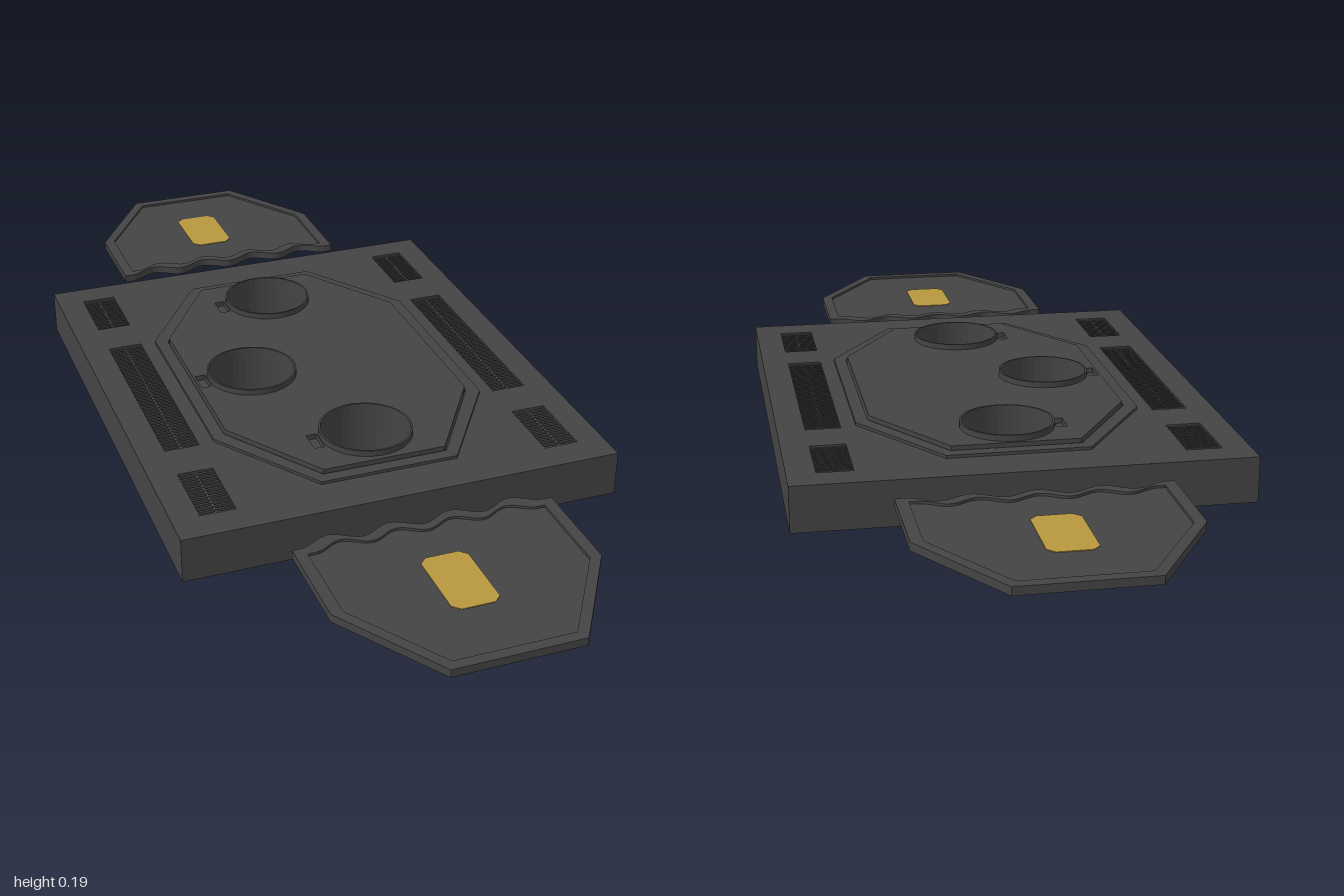
import * as THREE from 'three';

const mat = (name, color) => Object.assign(new THREE.MeshStandardMaterial({ color }), { name });

export function createModel() {
  const body = mat('dark grey', 0x444444);
  const shade = mat('vent shadow', 0x343434);
  const ringGrey = mat('ring grey', 0x414543);
  const gold = mat('gold', 0xb8983f);
  const model = new THREE.Group();
  model.name = 'plateAssembly';

  const add = (geometry, material, name, x = 0, y = 0, z = 0, parent = model) => {
    const mesh = new THREE.Mesh(geometry, material);
    mesh.name = name;
    mesh.position.set(x, y, z);
    parent.add(mesh);
    return mesh;
  };
  // Outlines are lists of [x, z], always turned counter-clockwise; slabs rise from y0 to y1
  const points = (list) => {
    const p = list.map(([x, z]) => new THREE.Vector2(x, -z));
    return THREE.ShapeUtils.isClockWise(p) ? p.reverse() : p;
  };
  const slab = (outline, holes, y0, y1) => {
    const shape = new THREE.Shape(points(outline));
    shape.holes = holes.map((h) => new THREE.Path(points(h)));
    const g = new THREE.ExtrudeGeometry(shape, { depth: y1 - y0, bevelEnabled: false });
    return g.rotateX(-Math.PI / 2).translate(0, y0, 0);
  };
  const rect = (x, z, w, d) => [
    [x - w / 2, z - d / 2], [x + w / 2, z - d / 2], [x + w / 2, z + d / 2], [x - w / 2, z + d / 2]];
  const circle = (x, z, r, n = 40) => Array.from({ length: n }, (_, i) => {
    const a = (i / n) * Math.PI * 2;
    return [x + r * Math.cos(a), z + r * Math.sin(a)];
  });
  // Long octagon shared by the pod and its collar, grown by g
  const octagon = (g = 0) => {
    const w = 0.257 + g, e = 0.125 + g * 0.5, l = 0.406 + g, m = 0.203 + g * 0.5, c = -0.008;
    return [[e, c - l], [w, c - m], [w, c + m], [e, c + l], [-e, c + l], [-w, c + m], [-w, c - m], [-e, c - l]];
  };

  // Main slab, pierced for the pod and the vents
  const vents = [];
  for (const x of [-0.35, 0.35]) {
    for (const [z, d] of [[-0.402, 0.145], [-0.012, 0.445], [0.375, 0.15]]) vents.push([x, z, 0.07, d]);
  }
  const slabOutline = rect(0, -0.01, 0.88, 1.05);
  add(slab(slabOutline, [octagon(0.003)], 0.07, 0.14), body, 'slabBase');
  add(slab(slabOutline, [octagon(0.003), ...vents.map((v) => rect(...v))], 0.14, 0.161), body, 'slabTop');
  add(slab(octagon(0.028), [octagon(0.003)], 0.161, 0.167), body, 'collar');

  // Vent grilles: dark floor, cross slats and a centre rail
  for (const [x, z, w, d] of vents) {
    const vent = new THREE.Group();
    vent.name = 'vent';
    model.add(vent);
    add(new THREE.BoxGeometry(w, 0.002, d), shade, 'ventFloor', x, 0.141, z, vent);
    const n = Math.round(d / 0.0115);
    for (let i = 0; i < n; i++) {
      add(new THREE.BoxGeometry(w, 0.012, 0.005), body, 'ventSlat', x, 0.152, z - d / 2 + ((i + 0.5) * d) / n, vent);
    }
    add(new THREE.BoxGeometry(0.005, 0.012, d), body, 'ventRail', x, 0.151, z, vent);
  }

  // Octagonal pod with three deep wells, each with a thumb notch beside it
  const wells = [[0, -0.316], [-0.137, -0.006], [0, 0.295]];
  const wellHoles = wells.map(([x, z]) => circle(x, z, 0.089));
  const notches = wells.map(([x, z]) => rect(x - 0.1045, z, 0.021, 0.05));
  add(slab(octagon(), [], 0, 0.02), body, 'podFloor');
  add(slab(octagon(), wellHoles, 0.02, 0.164), body, 'pod');
  add(slab(octagon(), [...wellHoles, ...notches], 0.164, 0.175), body, 'podTop');
  for (const [x, z] of wells) {
    add(slab(circle(x, z, 0.093), [circle(x, z, 0.089)], 0.175, 0.187), ringGrey, 'wellRing');
  }

  // Detached end covers with a scalloped inner edge, raised rim and gold patch
  const cover = (s, inner) => {
    const list = [];
    for (let i = 0; i <= 48; i++) {
      const x = -0.257 + (0.514 * i) / 48;
      const bump = Math.abs(x) < 0.24 ? 0.0125 * (1 - Math.cos(((x + 0.24) / 0.12) * Math.PI * 2)) : 0;
      list.push([x, inner - bump]);
    }
    return list.concat([[0.257, s * 0.795], [0.125, s], [-0.125, s], [-0.257, s * 0.795]]);
  };
  for (const [s, inner, patchZ, name] of [[1, 0.595, 0.772, 'frontCover'], [-1, -0.596, -0.79, 'backCover']]) {
    const group = new THREE.Group();
    group.name = name;
    model.add(group);
    const outline = cover(s, inner);
    const inset = outline.map(([x, z]) => [x * 0.91, s * 0.79 + (z - s * 0.79) * 0.9]);
    add(slab(outline, [], 0.133, 0.144), body, 'coverPlate', 0, 0, 0, group);
    add(slab(outline, [inset], 0.144, 0.149), body, 'coverRim', 0, 0, 0, group);
    const w = 0.046, d = 0.08, c = 0.014;
    const patch = [[w - c, -d], [w, c - d], [w, d - c], [w - c, d], [c - w, d], [-w, d - c], [-w, c - d], [c - w, -d]];
    add(slab(patch, [], 0.144, 0.1455), gold, 'goldPatch', -0.008, 0, patchZ, group);
  }
  return model;
}
